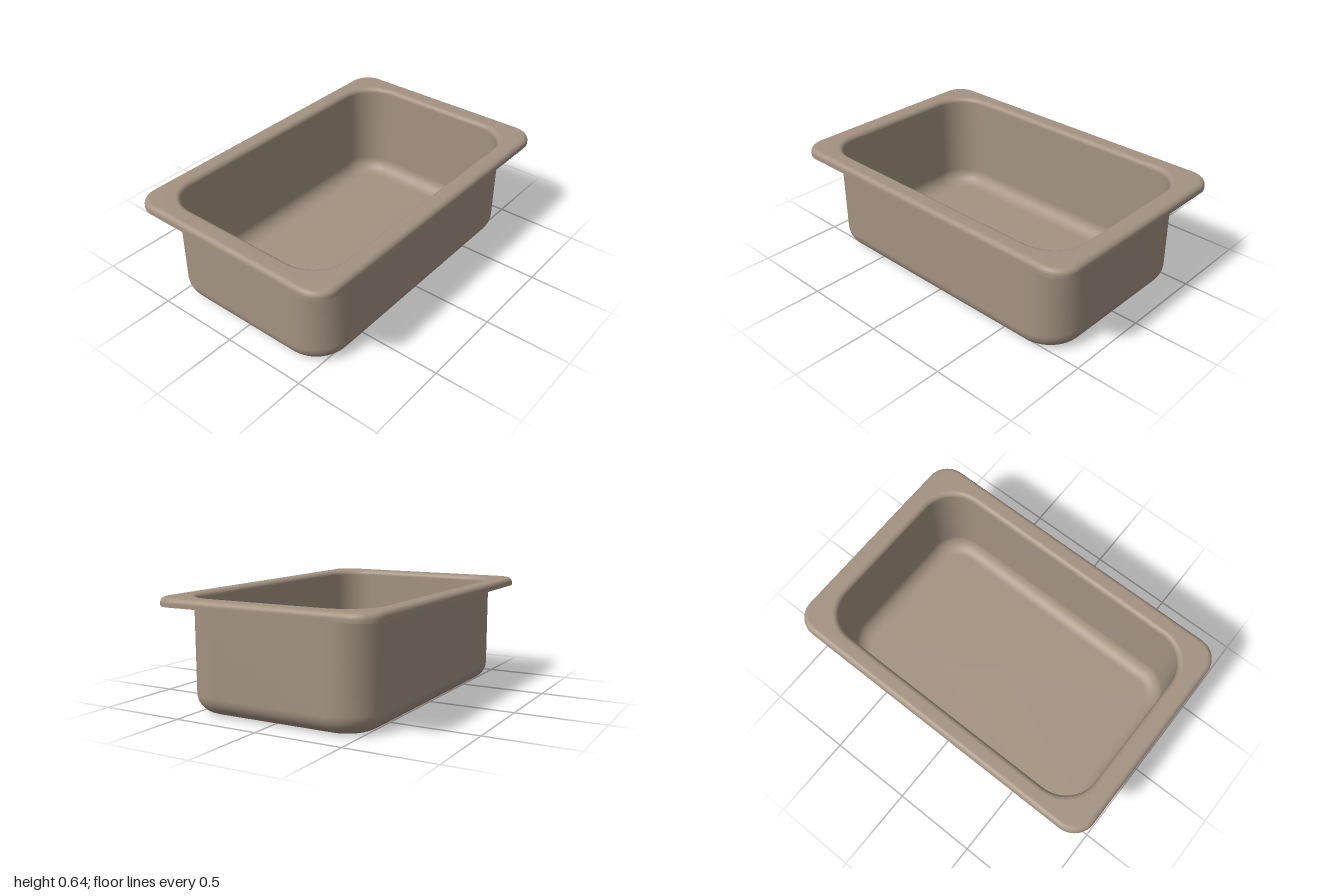
import * as THREE from 'three';

const CORNER_STEPS = 14;

// One rounded-rectangle ring: half width, half depth, corner radius, height
function ring([hx, hz, r, y]) {
  const pts = [];
  for (let c = 0; c < 4; c++) {
    const sx = c === 0 || c === 3 ? 1 : -1;
    const sz = c < 2 ? 1 : -1;
    for (let i = 0; i <= CORNER_STEPS; i++) {
      const a = (c + i / CORNER_STEPS) * Math.PI / 2;
      pts.push(sx * (hx - r) + r * Math.cos(a), y, sz * (hz - r) + r * Math.sin(a));
    }
  }
  return pts;
}

// Skin a list of rings into a smooth closed band
function loft(rings) {
  const n = 4 * (CORNER_STEPS + 1);
  const index = [];
  for (let k = 0; k < rings.length - 1; k++) {
    for (let j = 0; j < n; j++) {
      const a = k * n + j, b = k * n + (j + 1) % n;
      index.push(a, b, a + n, b, b + n, a + n);
    }
  }
  const g = new THREE.BufferGeometry();
  g.setAttribute('position', new THREE.Float32BufferAttribute(rings.flatMap(ring), 3));
  g.setIndex(index);
  g.computeVertexNormals();
  return g;
}

// Rings that follow an arc in the section; offset d is measured from a base outline
function arc([hx, hz, r], d, y, radius, from, to, steps = 8) {
  return Array.from({ length: steps + 1 }, (_, i) => {
    const a = THREE.MathUtils.degToRad(from + (to - from) * i / steps);
    const o = d + radius * Math.cos(a);
    return [hx + o, hz + o, r + o, y + radius * Math.sin(a)];
  });
}

export function createModel() {
  const model = new THREE.Group();
  model.name = 'pan';
  const metal = new THREE.MeshStandardMaterial({ color: 0xa39281 });
  metal.name = 'warm grey metal';

  const add = (name, rings) => {
    const mesh = new THREE.Mesh(loft(rings), metal);
    mesh.name = name;
    model.add(mesh);
  };

  const T = 0.017;                     // sheet thickness
  const TOP = 0.637, LIP = 0.59;       // rim top and lower edge of the lip
  const inner = [0.878, 0.548, 0.2];   // inside wall outline
  const outer = [0.895, 0.565, 0.217]; // outside wall outline
  const rim = [1, 0.66, 0.13];         // outer edge of the rim
  const lipIn = [1 - T, 0.66 - T, 0.13 - T];

  // Inside of the basin, rolled over onto the rim and down its outer edge
  add('basinInsideAndRim', [
    [0, 0, 0, T],
    ...arc(inner, -0.09, T + 0.09, 0.09, -90, 0, 10),
    ...arc(inner, 0.03, TOP - 0.03, 0.03, 180, 90),
    ...arc(rim, -0.03, TOP - 0.03, 0.03, 90, 0),
    [...rim, LIP],
  ]);

  // Thin lower edge of the lip
  add('lipEdge', [[...rim, LIP], [...lipIn, LIP]]);

  // Hollow underside of the rim, then the outside of the basin
  add('rimUndersideAndBasinOutside', [
    [...lipIn, LIP],
    ...arc(lipIn, -0.013, TOP - T - 0.013, 0.013, 0, 90, 5),
    ...arc(outer, 0.013, TOP - T - 0.013, 0.013, 90, 180, 5),
    ...arc(outer, -0.105, 0.105, 0.105, 0, -90, 10),
    [0, 0, 0, 0],
  ]);

  return model;
}
